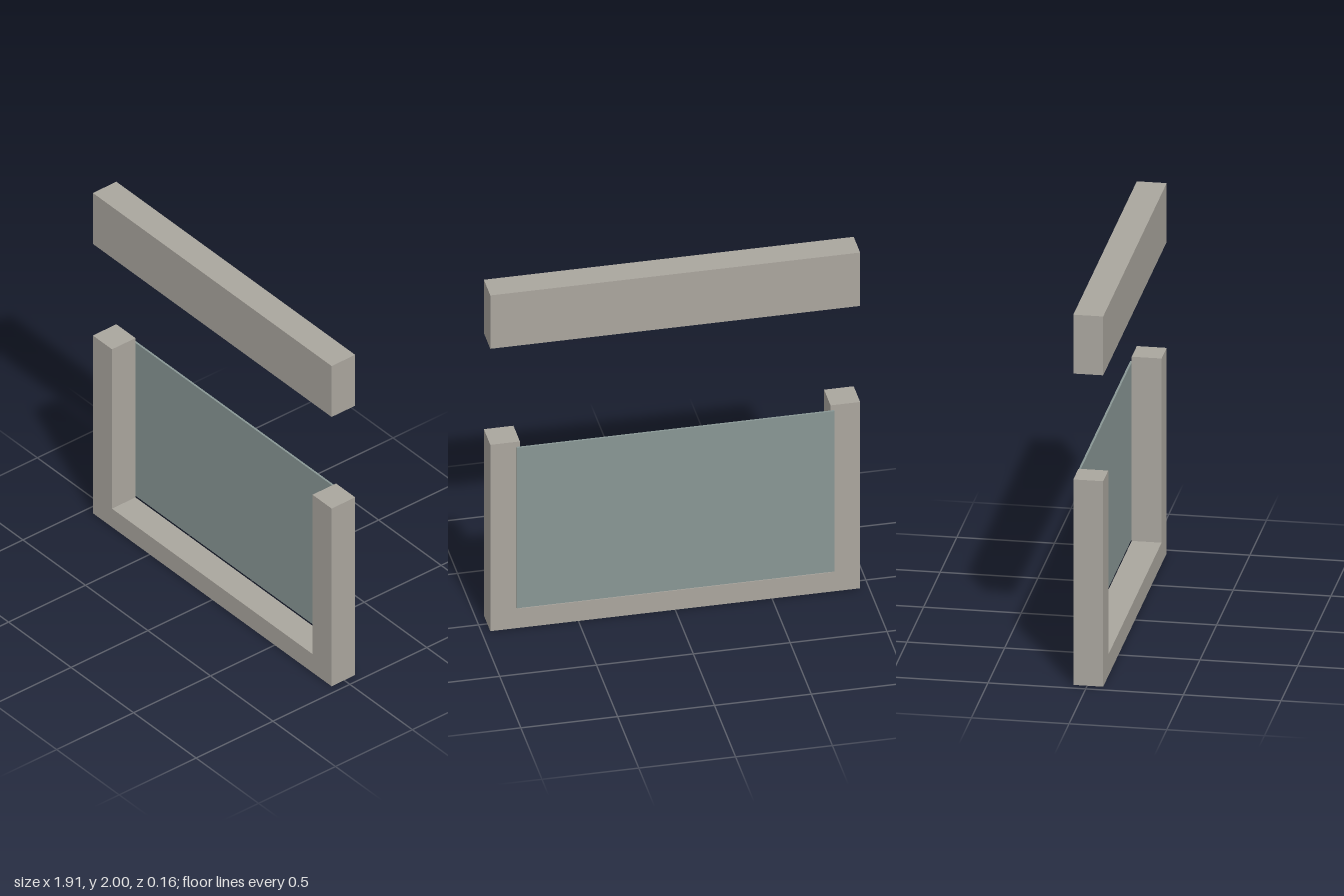
import * as THREE from 'three';

export function createModel() {
  const group = new THREE.Group();
  const stone = new THREE.MeshStandardMaterial({ color: 0xaaa69e });
  const glass = new THREE.MeshStandardMaterial({ color: 0x889694 });

  const halfWidth = 0.955, halfOpening = 0.802;
  const depth = 0.153, frontZ = 0.082, backZ = frontZ - depth;

  const addBox = (name, material, w, d, y0, y1, z) => {
    const mesh = new THREE.Mesh(new THREE.BoxGeometry(w, y1 - y0, d), material);
    mesh.name = name;
    mesh.position.set(0, (y0 + y1) / 2, z);
    group.add(mesh);
  };

  // U-shaped frame: sill and two posts in one piece
  const outline = new THREE.Shape([
    [-halfWidth, 0], [halfWidth, 0], [halfWidth, 1.11], [halfOpening, 1.11],
    [halfOpening, 0.115], [-halfOpening, 0.115], [-halfOpening, 1.11], [-halfWidth, 1.11],
  ].map(([x, y]) => new THREE.Vector2(x, y)));
  const frame = new THREE.Mesh(
    new THREE.ExtrudeGeometry(outline, { depth, bevelEnabled: false }), stone);
  frame.name = 'frame';
  frame.position.z = backZ;
  group.add(frame);

  // Separate beam above the opening
  addBox('lintel', stone, halfWidth * 2, depth, 1.682, 2, frontZ - depth / 2);

  // Thin pane lying against the back of the posts
  addBox('pane', glass, 1.64, 0.011, 0.125, 1.08, backZ - 0.0055);

  return group;
}
